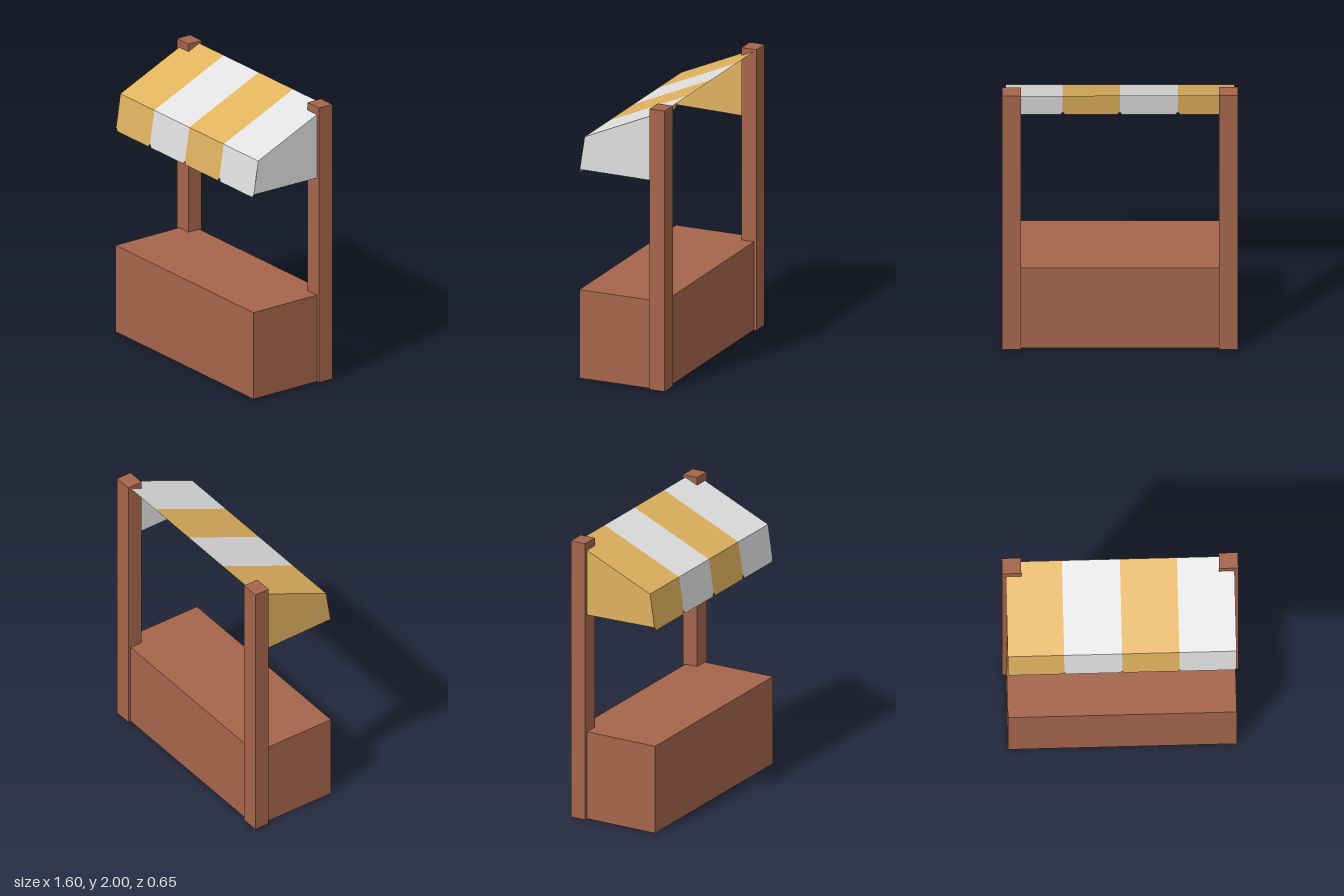
import * as THREE from 'three';

export function createModel() {
  const group = new THREE.Group();
  group.name = 'marketStall';

  const mat = (name, color, side = THREE.FrontSide) => {
    const m = new THREE.MeshStandardMaterial({ color, side });
    m.name = name;
    return m;
  };
  const wood = mat('wood', 0xa5654b);
  const gold = mat('goldCloth', 0xe0b25f, THREE.DoubleSide);
  const white = mat('whiteCloth', 0xe0e0e0, THREE.DoubleSide);

  const add = (name, geometry, material) => {
    const mesh = new THREE.Mesh(geometry, material);
    mesh.name = name;
    group.add(mesh);
    return mesh;
  };

  const box = (name, [x0, x1], [y0, y1], [z0, z1]) =>
    add(name, new THREE.BoxGeometry(x1 - x0, y1 - y0, z1 - z0), wood)
      .position.set((x0 + x1) / 2, (y0 + y1) / 2, (z0 + z1) / 2);

  // Flat cloth panel: 2D outline placed in space by a mapping rule
  const panel = (name, outline, place, material) => {
    const g = new THREE.ShapeGeometry(new THREE.Shape(outline.map(p => new THREE.Vector2(...p))));
    const pos = g.attributes.position;
    for (let i = 0; i < pos.count; i++) pos.setXYZ(i, ...place(pos.getX(i), pos.getY(i)));
    g.computeVertexNormals();
    add(name, g, material);
  };

  // Counter and the two rear posts
  box('counter', [-0.775, 0.775], [0, 0.63], [-0.305, 0.325]);
  box('rightPost', [-0.8, -0.67], [0, 2], [-0.325, -0.213]);
  box('leftPost', [0.67, 0.8], [0, 2], [-0.325, -0.213]);

  // Awning: sloped roof and leaning valance in four stripes
  const back = { y: 1.985, z: -0.305 };
  const fold = { y: 1.725, z: 0.285 };
  const hem = { y: 1.465, z: 0.325 };
  const edges = [-0.775, -0.393, 0, 0.387, 0.775];
  const onRoof = (x, t) => [x, fold.y + (back.y - fold.y) * t, fold.z + (back.z - fold.z) * t];
  const onValance = (x, y) =>
    [x, y, fold.z + (hem.z - fold.z) * (fold.y - y) / (fold.y - hem.y)];

  for (let i = 0; i < 4; i++) {
    const a = edges[i], b = edges[i + 1];
    const cloth = i % 2 ? white : gold;
    panel('roofStripe' + i, [[a, 0], [b, 0], [b, 1], [a, 1]], onRoof, cloth);
    // Clipped lower corners form the notches between flaps
    panel('valanceFlap' + i, [
      [a, fold.y], [a, 1.488], [a + 0.015, hem.y],
      [b - 0.015, hem.y], [b, 1.488], [b, fold.y],
    ], onValance, cloth);
  }

  // Awning side panels, drawn in z and y
  const side = [[back.z, back.y], [back.z, 1.482], [0.321, 1.488], [fold.z, fold.y]];
  panel('awningLeftSide', side, (z, y) => [0.775, y, z], white);
  panel('awningRightSide', side.map(([z, y], i) => [z, i === 1 ? 1.475 : y]),
    (z, y) => [-0.775, y, z], gold);

  return group;
}
